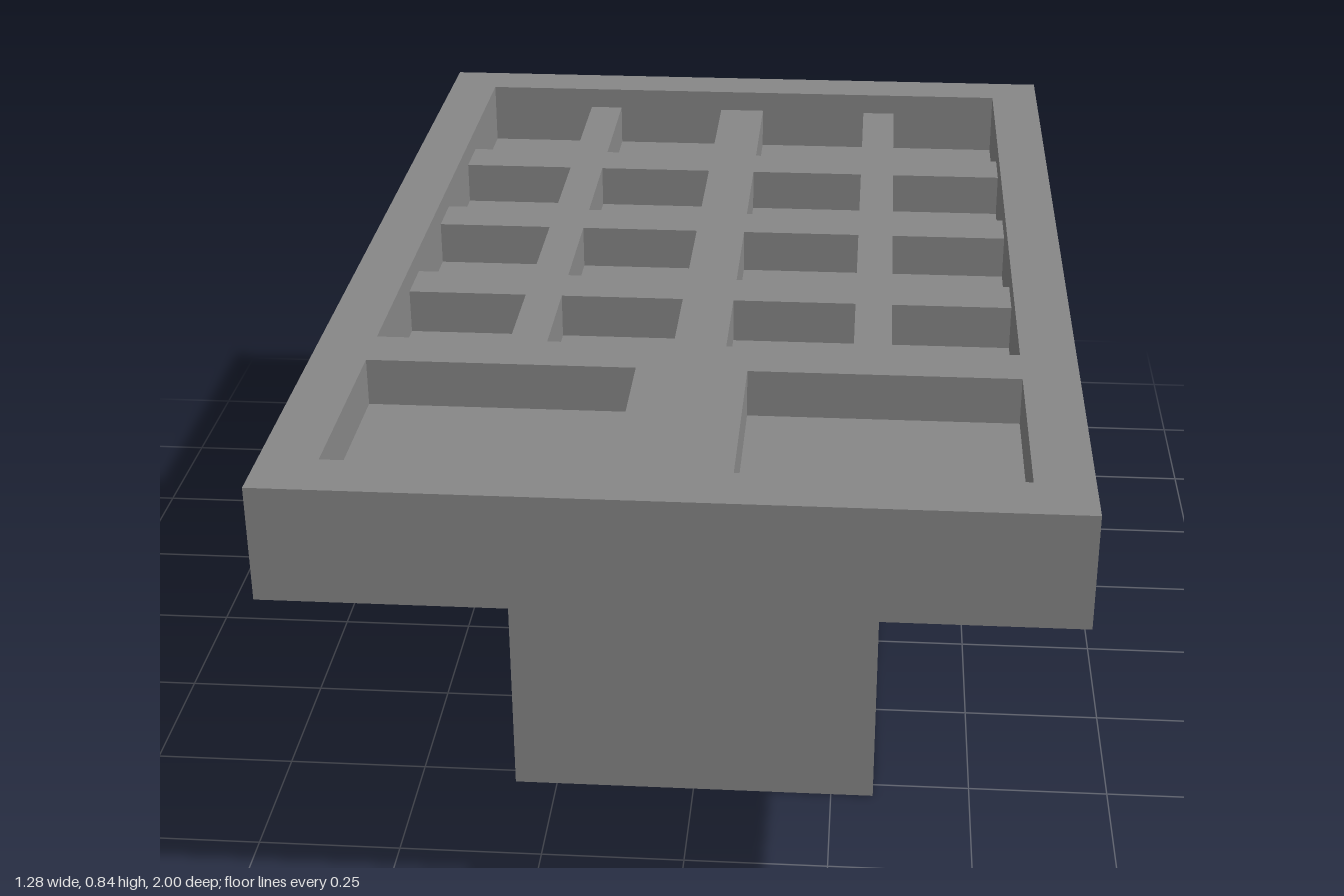
import * as THREE from 'three';

const material = new THREE.MeshStandardMaterial({ color: 0x878787, flatShading: true });

// Heights of the tray levels
const UNDERSIDE = 0.648, FLOOR = 0.723, POCKET_FLOOR = 0.761, GRID_TOP = 0.802, RIM_TOP = 0.843;

function addMesh(group, name, geometry) {
  const mesh = new THREE.Mesh(geometry, material);
  mesh.name = name;
  group.add(mesh);
}

// Box from its limits on each axis
function block(x0, x1, y0, y1, z0, z1) {
  return new THREE.BoxGeometry(x1 - x0, y1 - y0, z1 - z0)
    .translate((x0 + x1) / 2, (y0 + y1) / 2, (z0 + z1) / 2);
}

// Rectangle in plan; shape y is -z so the extrusion rises along +y
function rectangle([x0, x1, z0, z1], Type) {
  return new Type([[x0, -z1], [x1, -z1], [x1, -z0], [x0, -z0]].map(([x, y]) => new THREE.Vector2(x, y)));
}

// Plate with rectangular openings between two heights
function piercedPlate(outline, openings, y0, y1) {
  const shape = rectangle(outline, THREE.Shape);
  shape.holes = openings.map((o) => rectangle(o, THREE.Path));
  return new THREE.ExtrudeGeometry(shape, { depth: y1 - y0, bevelEnabled: false })
    .rotateX(-Math.PI / 2)
    .translate(0, y0, 0);
}

export function createModel() {
  const model = new THREE.Group();
  model.name = 'trayOnPedestal';

  const tray = [-0.642, 0.642, -1, 1];
  const well = [-0.547, 0.547, -0.902, 0.44];
  const pockets = [[-0.547, -0.093, 0.535, 0.9], [0.093, 0.547, 0.535, 0.9]];

  // Supporting block, set towards the front
  addMesh(model, 'pedestal', block(-0.326, 0.326, 0, UNDERSIDE, -0.12, 0.535));

  // Tray bottom and its rim around the large well and the two front pockets
  addMesh(model, 'trayBase', block(tray[0], tray[1], UNDERSIDE, FLOOR, tray[2], tray[3]));
  addMesh(model, 'trayRim', piercedPlate(tray, [well, ...pockets], FLOOR, RIM_TOP));

  // Raised floors of the front pockets
  for (const [x0, x1, z0, z1] of pockets) {
    addMesh(model, 'pocketFloor', block(x0, x1, FLOOR, POCKET_FLOOR, z0, z1));
  }

  // Divider grid inside the well, lower than the rim: bars across and along
  const acrossBars = [[-0.614, -0.517], [-0.28, -0.184], [0.053, 0.149]];
  const alongBars = [[-0.333, -0.267], [-0.046, 0.046], [0.267, 0.333]];
  for (const [z0, z1] of acrossBars) {
    addMesh(model, 'crossDivider', block(well[0], well[1], FLOOR, GRID_TOP, z0, z1));
  }
  const rowLimits = [well[2], ...acrossBars.flat(), well[3]];
  for (const [x0, x1] of alongBars) {
    for (let i = 0; i < rowLimits.length; i += 2) {
      addMesh(model, 'longDivider', block(x0, x1, FLOOR, GRID_TOP, rowLimits[i], rowLimits[i + 1]));
    }
  }
  return model;
}
